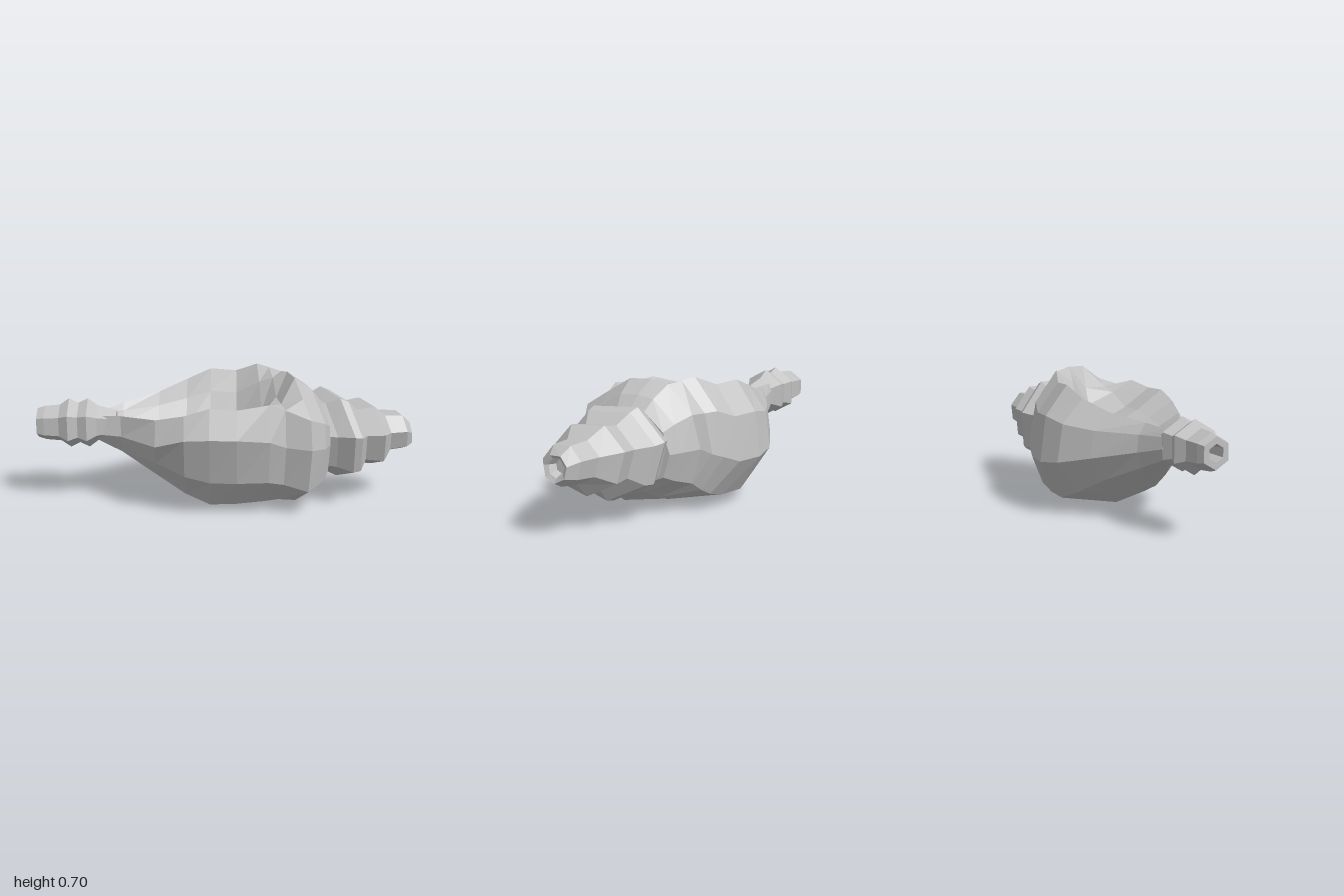
import * as THREE from 'three';

// Skin a list of rings (arrays of Vector3, ordered front -> up -> back, rings running toward +x).
function loft(rings, capStart) {
  const pos = [];
  const tri = (...pts) => pts.forEach((p) => pos.push(p.x, p.y, p.z));
  const n = rings[0].length;
  for (let r = 0; r < rings.length - 1; r++) {
    const a = rings[r], b = rings[r + 1];
    for (let i = 0; i < n; i++) {
      const j = (i + 1) % n;
      tri(a[i], b[i], b[j]);
      tri(a[i], b[j], a[j]);
    }
  }
  const cap = (ends, flip) => {
    const c = new THREE.Vector3();
    ends.forEach((p) => c.addScaledVector(p, 1 / n));
    ends.forEach((p, i) => {
      const q = ends[(i + 1) % n];
      if (flip) tri(c, q, p); else tri(c, p, q);
    });
  };
  if (capStart) cap(rings[0], false);
  cap(rings[rings.length - 1], true);
  const geo = new THREE.BufferGeometry();
  geo.setAttribute('position', new THREE.Float32BufferAttribute(pos, 3));
  geo.computeVertexNormals();
  return geo;
}

// Regular ring around the x axis, optionally sheared along x.
function ring(sides, phase, x, r, cy, cz, shearZ = 0, shearY = 0) {
  return Array.from({ length: sides }, (_, i) => {
    const a = phase + (i / sides) * Math.PI * 2;
    const z = Math.cos(a) * r, y = Math.sin(a) * r;
    return new THREE.Vector3(x + shearZ * z + shearY * y, cy + y, cz + z);
  });
}

// Unit cross-sections: z from -1 (back) to 1 (front), y from 0 (belly) to 1 (crest).
const OPEN_Z = [1, 0.81, 0.43, -0.1, -0.34, -0.62, -0.92, -1, -0.7, 0.11, 0.55, 0.82];
const OPEN_Y = [0.68, 0.9, 0.75, 0.6, 0.85, 1, 0.77, 0.41, 0.1, 0, 0.06, 0.3];
const CLOSED_Z = [1, 0.93, 0.6, 0.25, -0.08, -0.4, -0.84, -1, -0.84, -0.2, 0.37, 0.89];
const CLOSED_Y = [0.52, 0.75, 0.87, 0.99, 1, 0.97, 0.75, 0.49, 0.21, 0.06, 0, 0.17];

// Whorl section; closing 0 leaves the aperture open, 1 rolls it shut.
function whorlSection([x, slant, front, back, bottom, top, edgeY, closing]) {
  return OPEN_Z.map((oz, i) => {
    const uz = THREE.MathUtils.lerp(oz, CLOSED_Z[i], closing);
    const uy = THREE.MathUtils.lerp(OPEN_Y[i], CLOSED_Y[i], closing * closing);
    const z = uz * (uz > 0 ? front : back);
    const y = i === 0 ? edgeY : bottom + uy * (top - bottom);
    return new THREE.Vector3(x + slant * z, y, z);
  });
}

export function createModel() {
  const group = new THREE.Group();
  group.name = 'seashellHorn';
  const shell = new THREE.MeshStandardMaterial({ color: 0xc0c0c0, side: THREE.DoubleSide });
  shell.name = 'shellGrey';
  const add = (name, geo) => {
    const m = new THREE.Mesh(geo, shell);
    m.name = name;
    group.add(m);
  };

  // Body whorl with its lip: [x, slant, front z, back z, bottom, top, front edge y, closing]
  const body = [
    [-0.68, 0, 0.09, 0.065, 0.335, 0.5, 0.385, 0],
    [-0.55, 0, 0.13, 0.125, 0.27, 0.515, 0.385, 0],
    [-0.36, 0, 0.31, 0.28, 0.165, 0.55, 0.385, 0],
    [-0.21, 0, 0.385, 0.385, 0.065, 0.605, 0.44, 0],
    [-0.08, 0, 0.405, 0.415, 0, 0.66, 0.45, 0],
    [0.06, 0, 0.41, 0.39, 0.003, 0.655, 0.45, 0.1],
    [0.19, 0.1, 0.375, 0.36, 0.008, 0.71, 0.43, 0.5],
    [0.26, 0.15, 0.335, 0.33, 0.02, 0.705, 0.39, 0.75],
    [0.335, 0.3, 0.355, 0.285, 0.03, 0.7, 0.38, 1],
    [0.43, 0.3, 0.29, 0.25, 0.09, 0.635, 0.37, 1],
    [0.48, 0.3, 0.22, 0.22, 0.14, 0.575, 0.37, 1],
  ].map(whorlSection);
  add('bodyWhorl', loft(body, true));

  // Spire: stepped slanted whorls ending in a recessed tip [x, radius, centre y, shear z]
  const spire = [
    [0.44, 0.2, 0.37, 0.35], [0.51, 0.215, 0.37, 0.38], [0.58, 0.25, 0.37, 0.4], [0.625, 0.235, 0.365, 0.4],
    [0.68, 0.17, 0.37, 0.4], [0.77, 0.185, 0.375, 0.4], [0.84, 0.115, 0.38, 0.35], [0.94, 0.105, 0.385, 0.25],
    [0.985, 0.07, 0.375, 0.15], [0.975, 0.05, 0.378, 0.1], [0.94, 0.035, 0.38, 0.1],
  ].map(([x, r, cy, s]) => ring(7, 0.18, x, r, cy, 0, s, -0.12));
  add('spire', loft(spire, false));

  // Mouthpiece: hexagonal beads with a blow hole [x, radius]
  const mouth = [
    [-0.9, 0.035], [-1, 0.045], [-1, 0.08], [-0.96, 0.093], [-0.88, 0.1], [-0.83, 0.135], [-0.78, 0.11],
    [-0.73, 0.135], [-0.68, 0.097], [-0.58, 0.07],
  ].map(([x, r]) => ring(6, -Math.PI / 6, x, r, 0.43, 0.02));
  add('mouthpiece', loft(mouth, true));

  return group;
}
